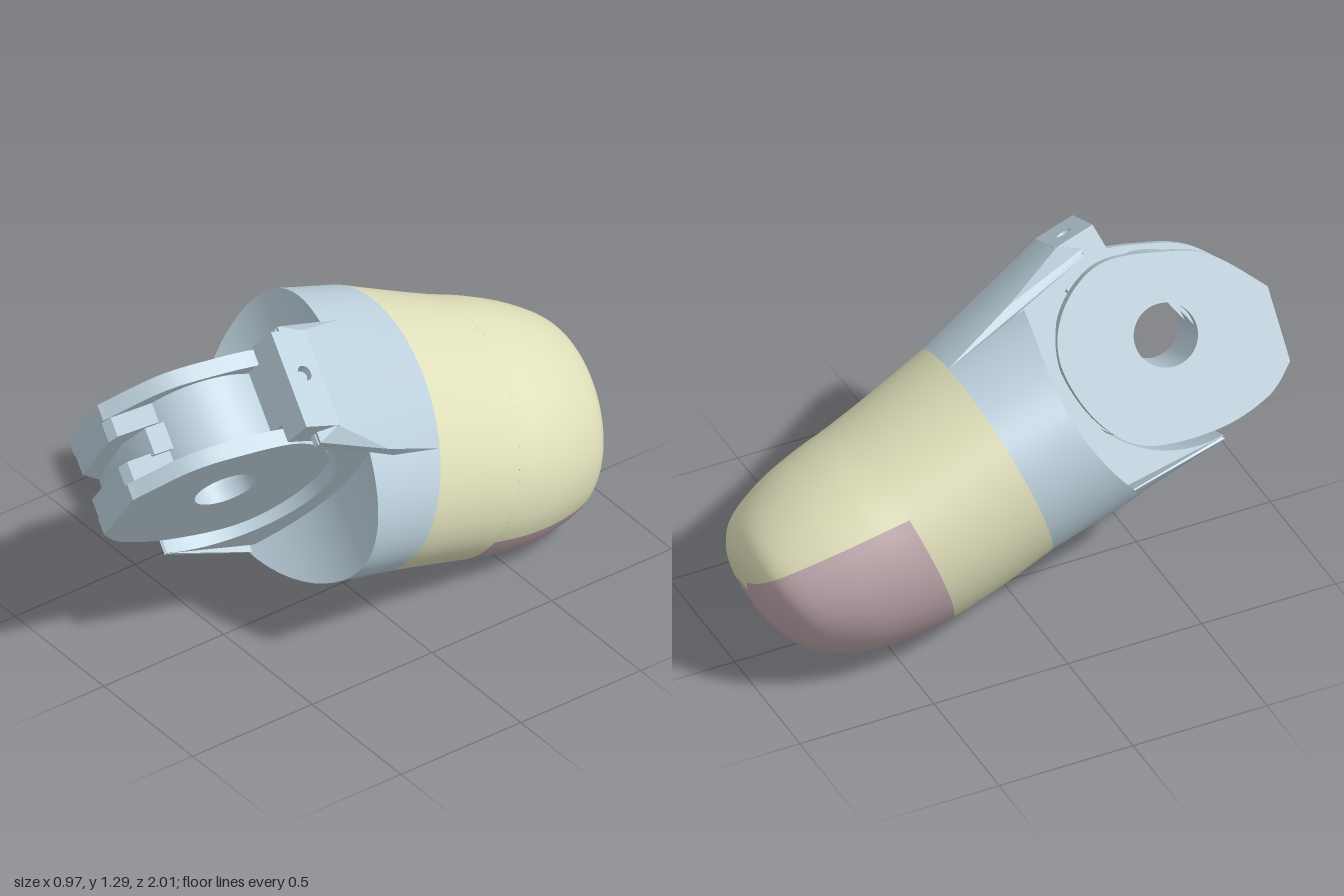
import * as THREE from 'three';
import { mergeVertices, toCreasedNormals } from 'three/addons/utils/BufferGeometryUtils.js';
import { ConvexGeometry } from 'three/addons/geometries/ConvexGeometry.js';

const shellGrey = new THREE.MeshStandardMaterial({ color: 0xbdd1dd });
shellGrey.name = 'pale blue grey';
const skinYellow = new THREE.MeshStandardMaterial({ color: 0xe0e0bb });
skinYellow.name = 'pale yellow';
const padPink = new THREE.MeshStandardMaterial({ color: 0xc0a8ad });
padPink.name = 'dusty pink';

const PIN = { z: 0.7, y: 0.018 };
const TAU = Math.PI * 2;

function add(group, name, geometry, material) {
  const mesh = new THREE.Mesh(geometry, material);
  mesh.name = name;
  group.add(mesh);
}

// Skin over rows of points: pointAt(u, v), both from 0 to 1
function skin(pointAt, rows, cols) {
  const pos = [], index = [];
  for (let i = 0; i <= rows; i++) {
    for (let j = 0; j <= cols; j++) {
      pos.push(...pointAt(i / rows, j / cols));
      if (i < rows && j < cols) {
        const a = i * (cols + 1) + j, c = a + cols + 1;
        index.push(a, c, a + 1, a + 1, c, c + 1);
      }
    }
  }
  const geo = new THREE.BufferGeometry();
  geo.setAttribute('position', new THREE.Float32BufferAttribute(pos, 3));
  geo.setIndex(index);
  const merged = mergeVertices(geo, 1e-5);
  merged.computeVertexNormals();
  return merged;
}

// Extrude a side profile (z, y) across the width, centred on x
function across(shape, width, x = 0) {
  const geo = new THREE.ExtrudeGeometry(shape, { depth: width, bevelEnabled: false, curveSegments: 20 });
  geo.translate(0, 0, -width / 2);
  geo.rotateY(-Math.PI / 2);
  geo.translate(x, 0, 0);
  return toCreasedNormals(geo, 0.5);
}

function polygon(points, dz = 0, dy = 0) {
  return new THREE.Shape(points.map(([z, y]) => new THREE.Vector2(z + dz, y + dy)));
}

function pinHole(shape) {
  const hole = new THREE.Path();
  hole.absarc(PIN.z, PIN.y, 0.11, 0, TAU, true);
  shape.holes.push(hole);
  return shape;
}

// Fingertip sections: z, centre x, centre y, half width, half thickness
const SECTIONS = [
  [0, -0.03, 0.004, 0.505, 0.378],
  [-0.2, -0.034, -0.018, 0.483, 0.374],
  [-0.4, -0.035, -0.032, 0.464, 0.366],
  [-0.55, -0.036, -0.03, 0.45, 0.354],
  [-0.7, -0.04, -0.024, 0.418, 0.326],
  [-0.84, -0.047, -0.01, 0.36, 0.265],
  [-0.905, -0.058, 0.006, 0.28, 0.19],
  [-0.935, -0.066, 0.017, 0.165, 0.105],
  [-0.942, -0.07, 0.022, 0, 0],
];
const centres = new THREE.CatmullRomCurve3(SECTIONS.map(s => new THREE.Vector3(s[1], s[2], s[0])), false, 'catmullrom', 0.5);
const radii = new THREE.CatmullRomCurve3(SECTIONS.map(s => new THREE.Vector3(s[3], s[4], 0)), false, 'catmullrom', 0.5);

// The underside is fuller than the back
function tipPoint(t, angle) {
  const c = centres.getPoint(t), r = radii.getPoint(t);
  const sin = Math.sin(angle);
  const full = sin < 0 ? 1.1 - 0.08 * t : 1;
  return [c.x + r.x * Math.cos(angle), c.y + r.y * full * sin, c.z];
}

function buildTip(group) {
  const split = 2 / (SECTIONS.length - 1);
  const end = u => split + u * (1 - split);
  // Angle at which the straight, gently rising pad edge meets each section
  const edge = u => {
    const c = centres.getPoint(end(u)), r = radii.getPoint(end(u));
    const rise = (0.004 + 0.1 * (-c.z - 0.4) - c.y) / Math.max(r.y, 0.01);
    return Math.asin(THREE.MathUtils.clamp(rise, 0, 0.6));
  };
  const base = (u, v) => tipPoint(u * split, v * TAU);
  const back = (u, v) => tipPoint(end(u), edge(u) + (Math.PI - 2 * edge(u)) * v);
  const pad = (u, v) => tipPoint(end(u), Math.PI - edge(u) + (Math.PI + 2 * edge(u)) * v);
  add(group, 'fingertipBase', skin(base, 6, 64), skinYellow);
  add(group, 'fingertipBack', skin(back, 36, 32), skinYellow);
  add(group, 'gripPad', skin(pad, 36, 32), padPink);
}

// Convex piece from one side's corners (mirrored) and an arc of the collar's back ring
function wedge(corners, from, to) {
  const points = corners.flatMap(([x, y, z]) => [new THREE.Vector3(x, y, z), new THREE.Vector3(-x, y, z)]);
  for (let i = 0; i <= 12; i++) {
    points.push(new THREE.Vector3(...tipPoint(0, from + (to - from) * i / 12)));
  }
  return toCreasedNormals(new ConvexGeometry(points), 0.4);
}

function buildCollar(group) {
  // The front end is hollowed around the hinge
  const front = (k, v) => {
    const sin = Math.sin(v * TAU);
    const x = -0.015 + 0.52 * k * Math.cos(v * TAU), y = (sin < 0 ? 0.415 : 0.386) * k * sin;
    return [x, y, 0.24 + 0.7 * y * y];
  };
  const side = (u, v) => {
    const p = front(1, v), q = tipPoint(0, v * TAU);
    return p.map((n, i) => n + (q[i] - n) * u);
  };
  add(group, 'collar', skin(side, 4, 64), shellGrey);
  add(group, 'collarEnd', skin(front, 8, 64), shellGrey);

  // Socket with a lower lip, concave around the hinge
  const socket = new THREE.Shape();
  socket.moveTo(0.1, -0.32);
  socket.lineTo(0.687, -0.37);
  socket.absarc(PIN.z, PIN.y, 0.385, -1.6, -TAU + 1.83, true);
  socket.lineTo(0.6, 0.41);
  socket.lineTo(0.1, 0.34);
  add(group, 'socket', across(socket, 0.44), shellGrey);
  add(group, 'lowerLip', wedge([[0.22, -0.38, 0.688], [0.22, -0.37, 0.68]], 4.1, 5.32), shellGrey);
  add(group, 'shoulder', wedge([[0.18, 0.47, 0.54], [0.22, 0.425, 0.6], [0.22, 0.4, 0.59],
    [0.245, 0.4, 0.29], [0.245, 0.35, 0.23]], 1.05, Math.PI - 1.05), shellGrey);

  // Stop block above the hinge, with a drilled cap
  const stop = (z0, z1, y0, y1) => polygon([[z0, y0], [z1, y0], [z1, y1], [z0, y1]]);
  add(group, 'stopBlock', across(stop(0.5, 0.68, 0.36, 0.4), 0.36), shellGrey);
  add(group, 'stopTooth', across(stop(0.5, 0.68, 0.3, 0.37), 0.23), shellGrey);
  const cap = stop(-0.18, 0.18, 0.53, 0.68);
  const hole = new THREE.Path();
  hole.absarc(-0.02, 0.6, 0.028, 0, TAU, true);
  cap.holes.push(hole);
  const capGeo = new THREE.ExtrudeGeometry(cap, { depth: 0.07, bevelEnabled: false });
  capGeo.rotateX(Math.PI / 2);
  capGeo.translate(0, 0.47, 0);
  add(group, 'stopBlockCap', capGeo, shellGrey);
}

function buildHinge(group) {
  const rim = [[0.27, 0.15], [0.13, 0.25], [-0.07, 0.325], [-0.25, 0.26], [-0.355, 0.108],
    [-0.35, -0.12], [-0.25, -0.283], [-0.017, -0.365], [0.19, -0.362], [0.315, -0.3]]
    .map(([z, y]) => new THREE.Vector2(PIN.z + z, PIN.y + y));
  const flange = new THREE.Shape();
  flange.moveTo(rim[9].x, rim[9].y);
  flange.lineTo(PIN.z + 0.38, PIN.y - 0.043);
  flange.splineThru(rim);
  pinHole(flange);

  const drum = new THREE.Shape();
  drum.absarc(PIN.z, PIN.y, 0.265, 0, TAU, false);
  pinHole(drum);
  add(group, 'hingeDrum', across(drum, 0.24), shellGrey);

  // The drum's front is filled out to the rim, leaving an upright cable groove in the middle
  const top = [[0.04, 0.26], [0.13, 0.215], [0.22, 0.14]];
  const inner = [[-0.1, -0.2], [0.13, -0.15], [0.15, 0.1]];
  const cheek = polygon([...inner, ...top.slice().reverse(), [0.365, -0.02], [0.375, -0.06],
    [0.31, -0.3], [0.18, -0.355], [-0.02, -0.36], [-0.1, -0.34]], PIN.z, PIN.y);
  const groove = polygon([...inner, ...top.slice().reverse(), [0.3, 0.05], [0.315, -0.06],
    [0.25, -0.26], [0.2, -0.35], [-0.02, -0.358], [-0.1, -0.338]], PIN.z, PIN.y);
  add(group, 'cableGroove', across(groove, 0.1, 0.01), shellGrey);
  for (const s of [-1, 1]) {
    const name = s > 0 ? 'left' : 'right';
    add(group, name + 'Flange', across(flange, 0.06, s * 0.15), shellGrey);
    add(group, name + 'Cheek', across(cheek, 0.075, s * 0.085), shellGrey);
  }
}

export function createModel() {
  const model = new THREE.Group();
  model.name = 'mechanicalFingertip';
  const finger = new THREE.Group();
  finger.name = 'finger';
  buildTip(finger);
  buildCollar(finger);
  buildHinge(finger);
  // Pitched down towards the tip and rolled about its length
  finger.rotation.set(-0.358, 0, -0.6);
  finger.position.set(0.017, 0.582, -0.064);
  model.add(finger);
  return model;
}
